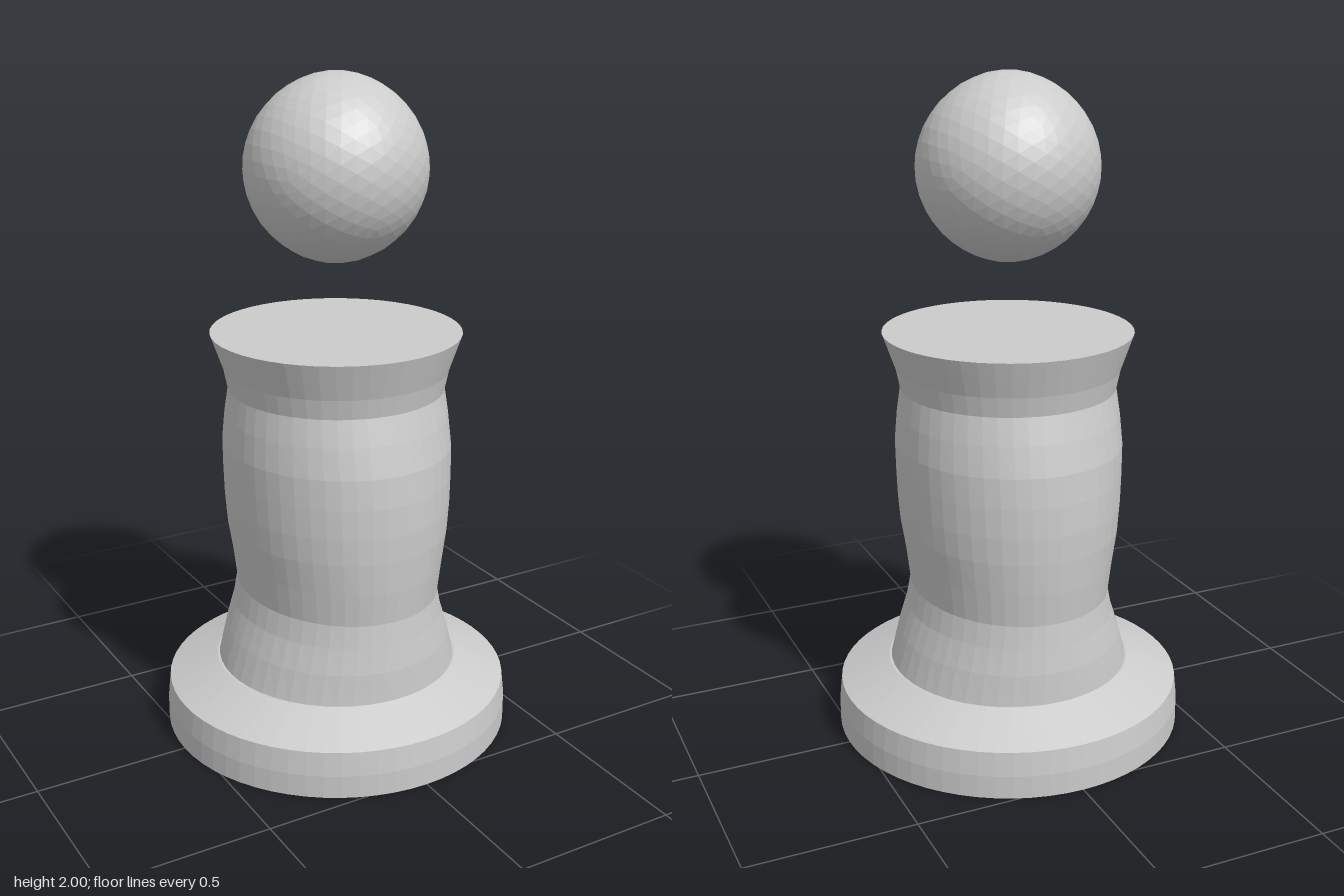
import * as THREE from 'three';

const SEGMENTS = 48;

export function createModel() {
  const group = new THREE.Group();
  const material = new THREE.MeshStandardMaterial({ color: 0xcccccc, flatShading: true });
  const add = (name, geometry) => {
    const mesh = new THREE.Mesh(geometry, material);
    mesh.name = name;
    group.add(mesh);
    return mesh;
  };

  // Round plinth with a sloping upper face
  const plinth = [[0, 0], [0.533, 0], [0.533, 0.07], [0.525, 0.143], [0.375, 0.205], [0, 0.205]];
  add('plinth', new THREE.LatheGeometry(plinth.map(([r, y]) => new THREE.Vector2(r, y)), 64));

  // Waisted body: height, half width, half depth of each oval section
  const sections = [
    [0.2, 0.368, 0.375], [0.3, 0.338, 0.372], [0.38, 0.31, 0.363], [0.45, 0.295, 0.356],
    [0.55, 0.307, 0.367], [0.65, 0.324, 0.374], [0.73, 0.331, 0.376], [0.82, 0.335, 0.374],
    [0.91, 0.338, 0.367], [1.0, 0.332, 0.348], [1.08, 0.322, 0.328], [1.14, 0.334, 0.34],
    [1.25, 0.373, 0.375],
  ];
  const profile = sections.map(([y, , rz]) => new THREE.Vector2(rz, y));
  profile.push(new THREE.Vector2(0, 1.25));
  const body = new THREE.LatheGeometry(profile, SEGMENTS);
  const pos = body.attributes.position;
  for (let i = 0; i < pos.count; i++) {
    const section = sections[i % profile.length];
    if (section) pos.setX(i, pos.getX(i) * section[1] / section[2]);
  }
  body.computeVertexNormals();
  add('body', body);

  // Floating ball, drawn out slightly at both poles
  const ball = new THREE.IcosahedronGeometry(0.267, 6);
  const p = ball.attributes.position;
  for (let i = 0; i < p.count; i++) {
    const t = p.getY(i) / 0.267;
    p.setY(i, p.getY(i) * (1 + 0.02 * t ** 8));
  }
  ball.computeVertexNormals();
  add('ball', ball).position.y = 1.728;

  return group;
}
